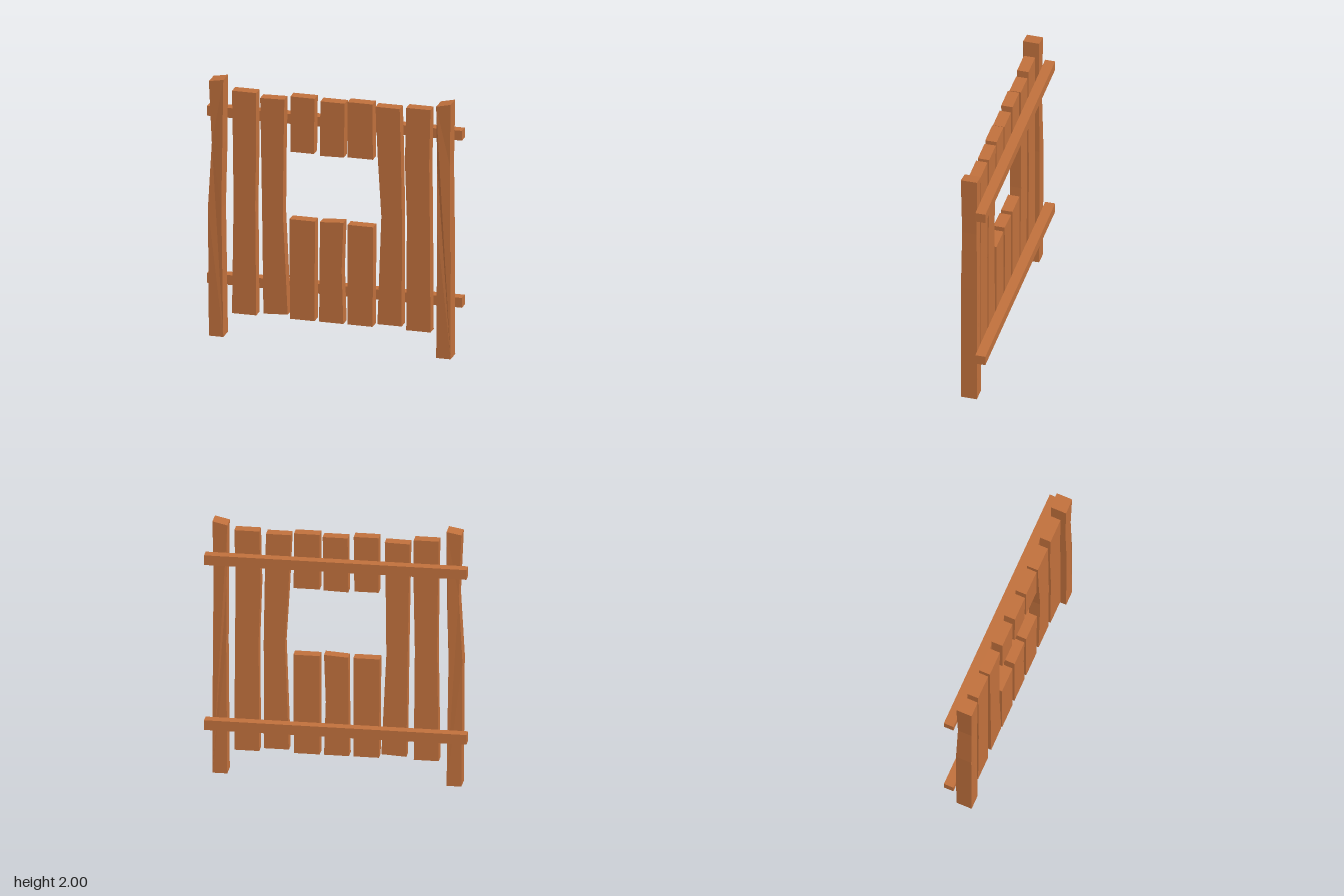
import * as THREE from 'three';

const wood = new THREE.MeshStandardMaterial({ color: 0xc0703c, flatShading: true });

// Board from rows bottom to top: [xLeft, yLeft, xRight, yRight], extruded between two z values
function board(name, rows, zBack, zFront) {
  const left = rows.map(r => new THREE.Vector2(r[0], r[1]));
  const right = rows.map(r => new THREE.Vector2(r[2], r[3]));
  const shape = new THREE.Shape([...right, ...left.reverse()]);
  const geometry = new THREE.ExtrudeGeometry(shape, { depth: zFront - zBack, bevelEnabled: false });
  geometry.translate(0, 0, zBack);
  const mesh = new THREE.Mesh(geometry, wood);
  mesh.name = name;
  return mesh;
}

// Slightly thin a post in depth around one height
function pinch(mesh, height) {
  const p = mesh.geometry.attributes.position;
  for (let i = 0; i < p.count; i++) {
    if (Math.abs(p.getY(i) - height) < 0.01) p.setZ(i, p.getZ(i) > 0 ? 0.092 : -0.018);
  }
  mesh.geometry.computeVertexNormals();
  return mesh;
}

export function createModel() {
  const group = new THREE.Group();
  group.name = 'plankWall';

  // Crooked posts with slanted tops
  const posts = {
    rightPost: [[-0.925, 0, -0.815, 0], [-0.932, 1, -0.83, 1], [-0.905, 1.5, -0.817, 1.5], [-0.925, 1.98, -0.815, 2]],
    leftPost: [[0.81, 0, 0.92, 0], [0.818, 1, 0.917, 1], [0.815, 1.5, 0.912, 1.5], [0.81, 1.955, 0.92, 1.98]],
  };
  for (const [name, rows] of Object.entries(posts)) group.add(pinch(board(name, rows, -0.022, 0.1), 1.5));

  // Full-height planks on both sides of the opening
  const planks = {
    rightOuterPlank: [[-0.755, 0.185, -0.57, 0.185], [-0.743, 1.05, -0.578, 1.05], [-0.748, 1.5, -0.57, 1.5], [-0.755, 1.915, -0.57, 1.915]],
    rightInnerPlank: [[-0.515, 0.205, -0.33, 0.215], [-0.525, 1, -0.367, 1], [-0.533, 1.5, -0.362, 1.5], [-0.54, 1.88, -0.355, 1.885]],
    leftInnerPlank: [[0.355, 0.21, 0.54, 0.21], [0.385, 1.05, 0.542, 1.05], [0.358, 1.5, 0.535, 1.5], [0.34, 1.9, 0.525, 1.9]],
    leftOuterPlank: [[0.575, 0.185, 0.76, 0.185], [0.58, 1.05, 0.755, 1.05], [0.565, 1.5, 0.75, 1.5], [0.575, 1.915, 0.76, 1.915]],
    // Short planks above the opening
    upperRightPlank: [[-0.31, 1.485, -0.13, 1.485], [-0.31, 1.915, -0.125, 1.915]],
    upperMiddlePlank: [[-0.085, 1.475, 0.098, 1.48], [-0.08, 1.9, 0.105, 1.9]],
    upperLeftPlank: [[0.127, 1.485, 0.32, 1.485], [0.127, 1.915, 0.318, 1.915]],
    // Short planks below the opening
    lowerRightPlank: [[-0.312, 0.185, -0.125, 0.185], [-0.317, 0.96, -0.122, 0.96]],
    lowerMiddlePlank: [[-0.09, 0.185, 0.095, 0.185], [-0.086, 0.6, 0.082, 0.6], [-0.084, 0.96, 0.095, 0.972]],
    lowerLeftPlank: [[0.127, 0.185, 0.318, 0.185], [0.127, 0.96, 0.323, 0.96]],
  };
  for (const [name, rows] of Object.entries(planks)) group.add(board(name, rows, -0.008, 0.078));

  // Horizontal rails across the back
  for (const [name, y] of [['lowerRail', 0.402], ['upperRail', 1.702]]) {
    const rail = new THREE.Mesh(new THREE.BoxGeometry(1.945, 0.076, 0.076), wood);
    rail.position.set(-0.002, y, -0.062);
    rail.name = name;
    group.add(rail);
  }
  return group;
}
